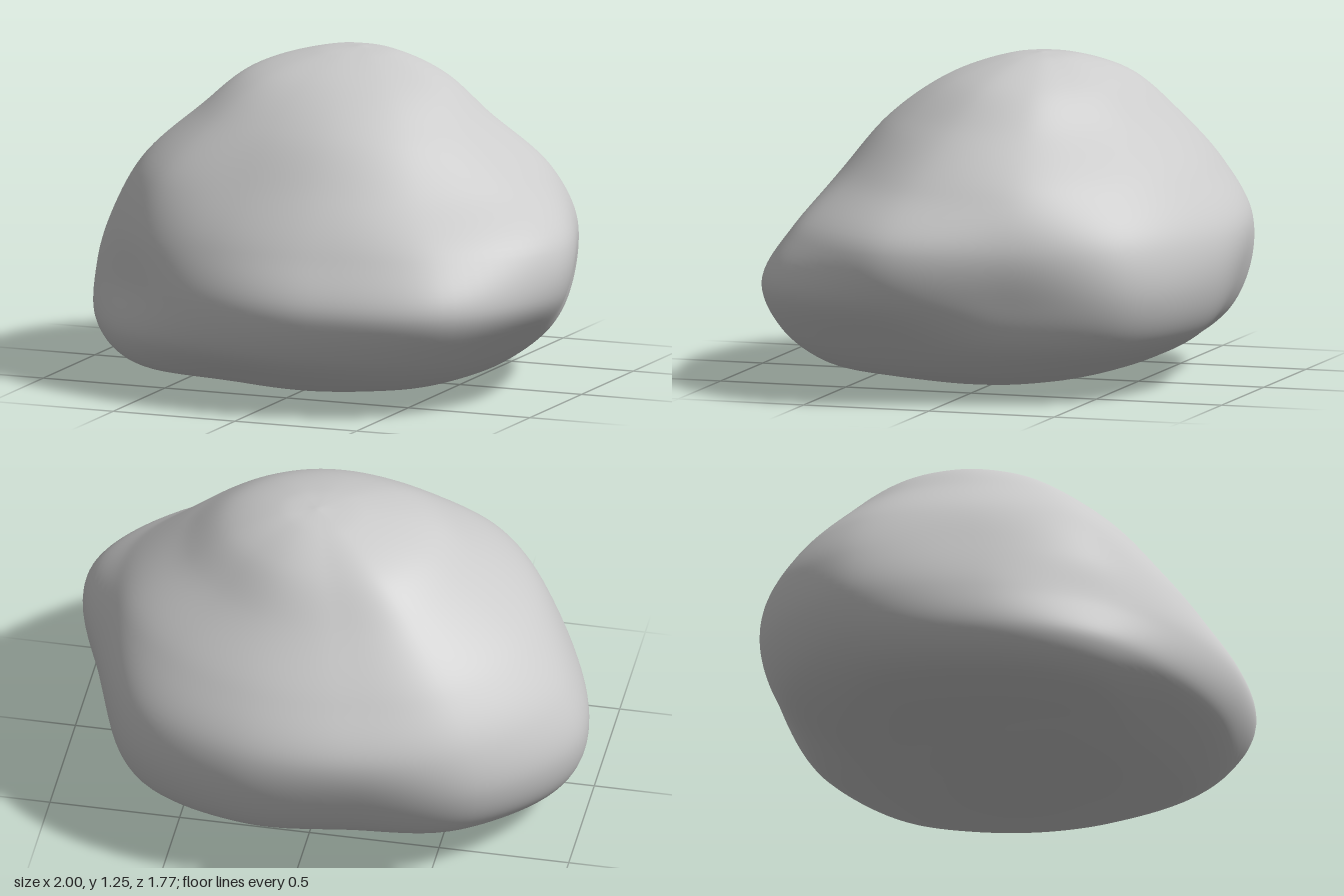
import * as THREE from 'three';

// Outline radii every 30 degrees, starting 15 degrees from +x towards +z, at each height
const RINGS = [
  [0.015, [0.38, 0.36, 0.31, 0.23, 0.16, 0.11, 0.11, 0.13, 0.19, 0.24, 0.30, 0.36]],
  [0.04, [0.50, 0.55, 0.54, 0.51, 0.50, 0.42, 0.40, 0.38, 0.37, 0.39, 0.44, 0.47]],
  [0.10, [0.70, 0.78, 0.70, 0.67, 0.81, 0.83, 0.86, 0.71, 0.58, 0.58, 0.65, 0.66]],
  [0.22, [0.86, 0.94, 0.86, 0.83, 0.90, 0.93, 0.99, 0.90, 0.76, 0.80, 0.86, 0.82]],
  [0.40, [1.01, 1.04, 0.92, 0.86, 0.87, 0.93, 1.035, 0.97, 0.85, 0.88, 0.93, 0.88]],
  [0.60, [1.00, 0.94, 0.82, 0.80, 0.85, 0.88, 0.98, 0.94, 0.86, 0.86, 0.89, 0.89]],
  [0.80, [0.79, 0.73, 0.685, 0.685, 0.77, 0.79, 0.84, 0.81, 0.72, 0.71, 0.73, 0.78]],
  [1.00, [0.56, 0.55, 0.54, 0.54, 0.58, 0.59, 0.61, 0.60, 0.51, 0.48, 0.48, 0.53]],
  [1.15, [0.37, 0.36, 0.35, 0.36, 0.40, 0.42, 0.42, 0.40, 0.32, 0.30, 0.30, 0.34]],
  [1.23, [0.16, 0.15, 0.14, 0.15, 0.17, 0.18, 0.18, 0.17, 0.14, 0.13, 0.13, 0.15]],
];
const BOTTOM = new THREE.Vector3(0.13, 0, 0.02);
const TOP = new THREE.Vector3(0.04, 1.25, -0.13);
const AROUND = 120;
const UP = 110;

// Closed smooth outline; its centre drifts towards the peak with height
function ringCurve([y, radii]) {
  const drift = (y / TOP.y) ** 2;
  const points = radii.map((r, k) => {
    const a = ((k + 0.5) / radii.length) * Math.PI * 2;
    return new THREE.Vector3(TOP.x * drift + r * Math.cos(a), y, TOP.z * drift + r * Math.sin(a));
  });
  return new THREE.CatmullRomCurve3(points, true, 'catmullrom', 0.5);
}

// Smooth skin running from the bottom pole, through the outlines, to the peak
function rockGeometry() {
  const curves = RINGS.map(ringCurve);
  const columns = [];
  for (let j = 0; j < AROUND; j++) {
    const points = curves.map((c) => c.getPoint(j / AROUND));
    columns.push(new THREE.CatmullRomCurve3([BOTTOM, ...points, TOP], false, 'centripetal'));
  }
  const positions = [...BOTTOM.toArray()];
  for (let i = 1; i < UP; i++) {
    for (const column of columns) positions.push(...column.getPoint(i / UP).toArray());
  }
  positions.push(...TOP.toArray());

  const last = positions.length / 3 - 1;
  const id = (i, j) => (i === 0 ? 0 : i === UP ? last : 1 + (i - 1) * AROUND + (j % AROUND));
  const index = [];
  for (let i = 0; i < UP; i++) {
    for (let j = 0; j < AROUND; j++) {
      const a = id(i, j), b = id(i + 1, j), c = id(i + 1, j + 1), d = id(i, j + 1);
      if (i < UP - 1) index.push(a, b, c);
      if (i > 0) index.push(a, c, d);
    }
  }
  const geometry = new THREE.BufferGeometry();
  geometry.setAttribute('position', new THREE.Float32BufferAttribute(positions, 3));
  geometry.setIndex(index);
  geometry.computeVertexNormals();
  return geometry;
}

export function createModel() {
  const group = new THREE.Group();
  group.name = 'boulder';
  const rock = new THREE.Mesh(rockGeometry(), new THREE.MeshStandardMaterial({ color: 0xcccccc }));
  rock.name = 'rock';
  group.add(rock);
  return group;
}
